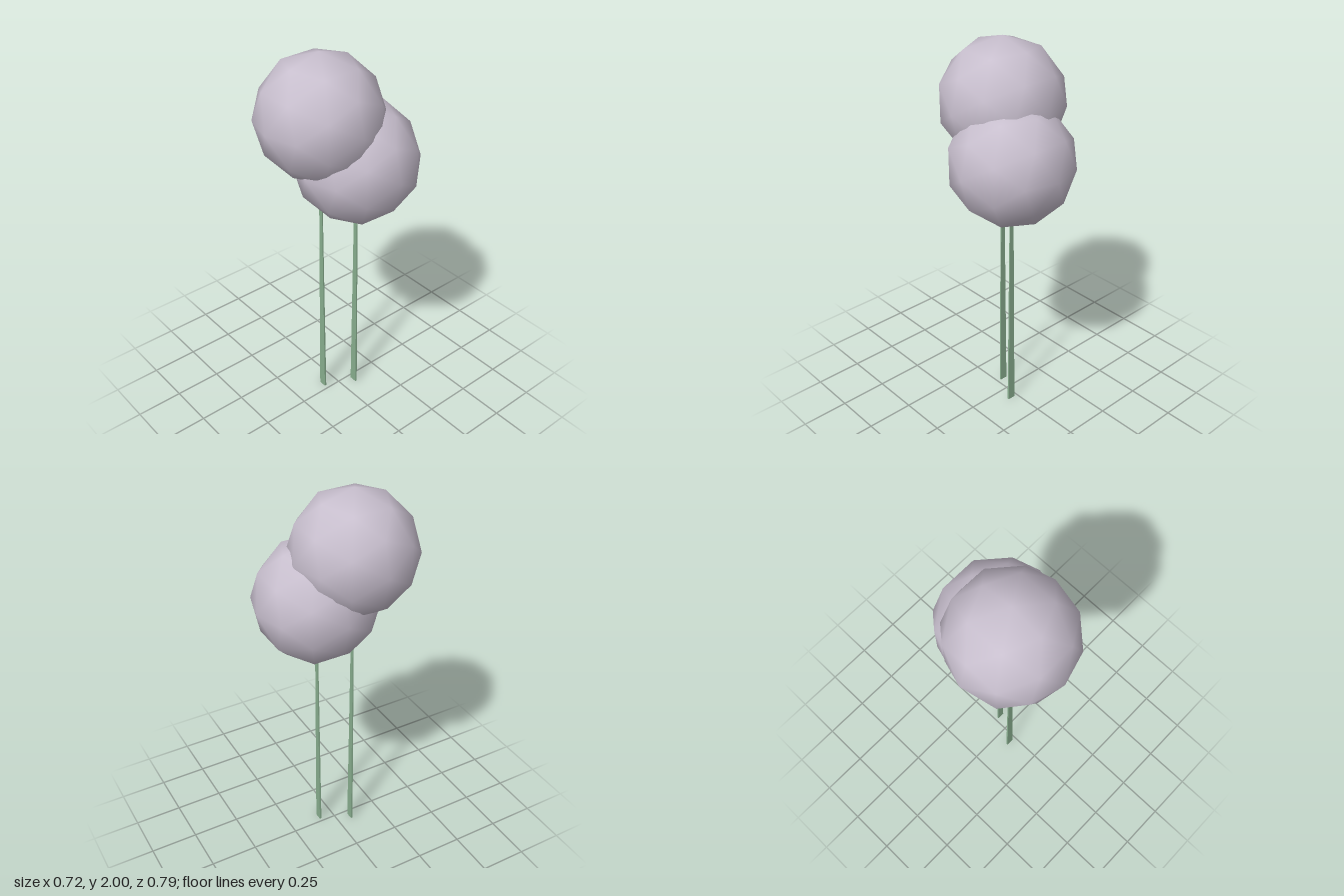
import * as THREE from 'three';

export function createModel() {
  const model = new THREE.Group();
  model.name = 'pomponFlowers';

  const petal = new THREE.MeshStandardMaterial({ color: 0xc8bfce });
  petal.name = 'pale lilac';
  const green = new THREE.MeshStandardMaterial({ color: 0x88ae8e });
  green.name = 'stem green';

  // Each flower is a faceted ball on a thin tapering blade of a stem
  function addFlower(name, x, y, z) {
    const flower = new THREE.Group();
    flower.name = name;
    flower.position.set(x, 0, z);

    const head = new THREE.Mesh(new THREE.IcosahedronGeometry(0.317, 1), petal);
    head.name = 'flowerHead';
    head.position.y = y;
    head.rotation.y = Math.PI / 2;
    flower.add(head);

    // Flat stem, narrowing upward and ending inside the head
    const geo = new THREE.BoxGeometry(0.042, y, 0.01).toNonIndexed();
    const p = geo.attributes.position;
    const topScale = 1 - 0.41 * y;
    for (let i = 0; i < p.count; i++) {
      if (p.getY(i) > 0) p.setXYZ(i, p.getX(i) * topScale, p.getY(i), p.getZ(i) * topScale);
    }
    geo.computeVertexNormals();
    const stem = new THREE.Mesh(geo, green);
    stem.name = 'stem';
    stem.position.y = y / 2;
    flower.add(stem);

    model.add(flower);
  }

  addFlower('tallFlower', -0.043, 1.683, 0.078);
  addFlower('shortFlower', 0.04, 1.434, -0.079);

  return model;
}
